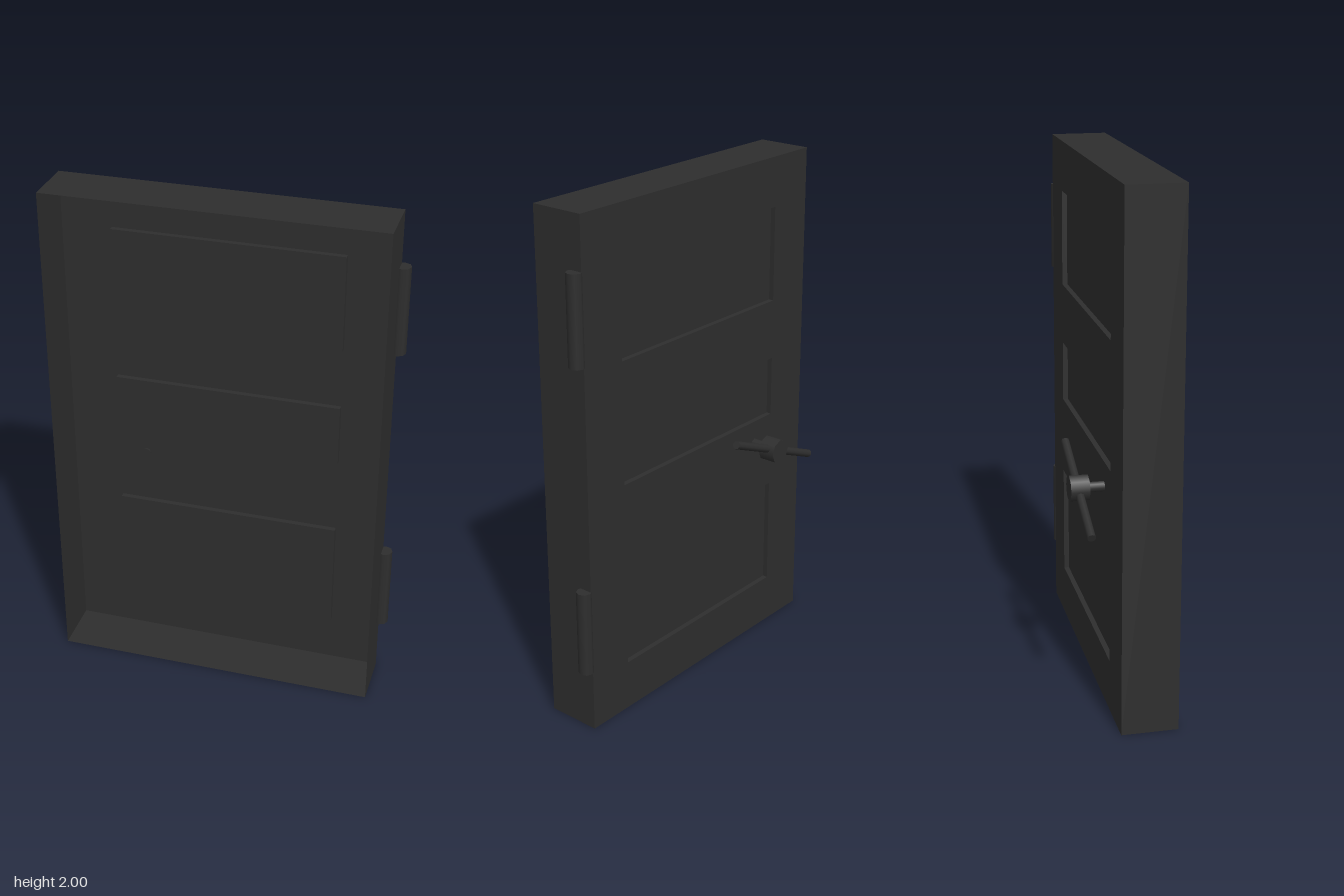
import * as THREE from 'three';

const BACK = -0.045, FRONT = 0.17, RECESS = 0.02;
const LEFT = -0.655, RIGHT = 0.612, HEIGHT = 2;

// Four thin walls around a rectangle, open at both z ends
function rectWalls(x0, x1, y0, y1, z0, z1) {
  const g = new THREE.BoxGeometry(x1 - x0, y1 - y0, z1 - z0);
  g.setIndex(Array.from(g.index.array).slice(0, 24));
  g.clearGroups();
  return g.translate((x0 + x1) / 2, (y0 + y1) / 2, (z0 + z1) / 2);
}

function rectPath(path, x0, x1, y0, y1) {
  path.moveTo(x0, y0);
  path.lineTo(x1, y0);
  path.lineTo(x1, y1);
  path.lineTo(x0, y1);
  path.closePath();
  return path;
}

export function createModel() {
  const group = new THREE.Group();
  const metal = new THREE.MeshStandardMaterial({ color: 0x2e2e2e, side: THREE.DoubleSide });
  metal.name = 'darkMetal';

  const add = (name, geometry, parent = group) => {
    const mesh = new THREE.Mesh(geometry, metal);
    mesh.name = name;
    parent.add(mesh);
    return mesh;
  };

  // Door shell: thin rim and a sheet with three openings
  const panels = [[0.2, 0.64], [0.95, 1.19], [1.43, 1.805]];
  const px0 = -0.46, px1 = 0.42;
  const sheet = rectPath(new THREE.Shape(), LEFT, RIGHT, 0, HEIGHT);
  for (const [y0, y1] of panels) sheet.holes.push(rectPath(new THREE.Path(), px0, px1, y0, y1));
  add('doorSheet', new THREE.ShapeGeometry(sheet).rotateY(Math.PI).scale(-1, 1, 1).translate(0, 0, BACK));
  add('doorRim', rectWalls(LEFT, RIGHT, 0, HEIGHT, BACK, FRONT));

  // Pressed panels, sunk from the back
  for (const [y0, y1] of panels) {
    add('panelEdge', rectWalls(px0, px1, y0, y1, BACK, BACK + RECESS));
    add('panelFace', new THREE.PlaneGeometry(px1 - px0, y1 - y0)
      .translate((px0 + px1) / 2, (y0 + y1) / 2, BACK + RECESS));
  }

  // Hinge barrels
  for (const y of [0.418, 1.63]) {
    add('hinge', new THREE.CylinderGeometry(0.03, 0.03, 0.34, 8)).position.set(0.622, y, -0.021);
  }

  // Handle: spindle through the sheet, hub and two tilted bars
  const handle = new THREE.Group();
  handle.name = 'handle';
  handle.position.set(-0.355, 0.855, 0);
  group.add(handle);
  const spindle = add('spindle', new THREE.CylinderGeometry(0.02, 0.02, 0.08, 8), handle);
  spindle.rotation.x = Math.PI / 2;
  spindle.position.z = -0.08;
  const hub = add('hub', new THREE.CylinderGeometry(0.05, 0.05, 0.07, 8), handle);
  hub.rotation.x = Math.PI / 2;
  hub.position.z = -0.14;
  const bars = new THREE.Group();
  bars.name = 'handleBars';
  bars.position.z = -0.141;
  bars.rotation.z = THREE.MathUtils.degToRad(22.5);
  handle.add(bars);
  for (const side of [-1, 1]) {
    const bar = add('handleBar', new THREE.CylinderGeometry(0.016, 0.016, 0.23, 8), bars);
    bar.rotation.z = Math.PI / 2;
    bar.position.x = side * 0.145;
  }
  return group;
}
